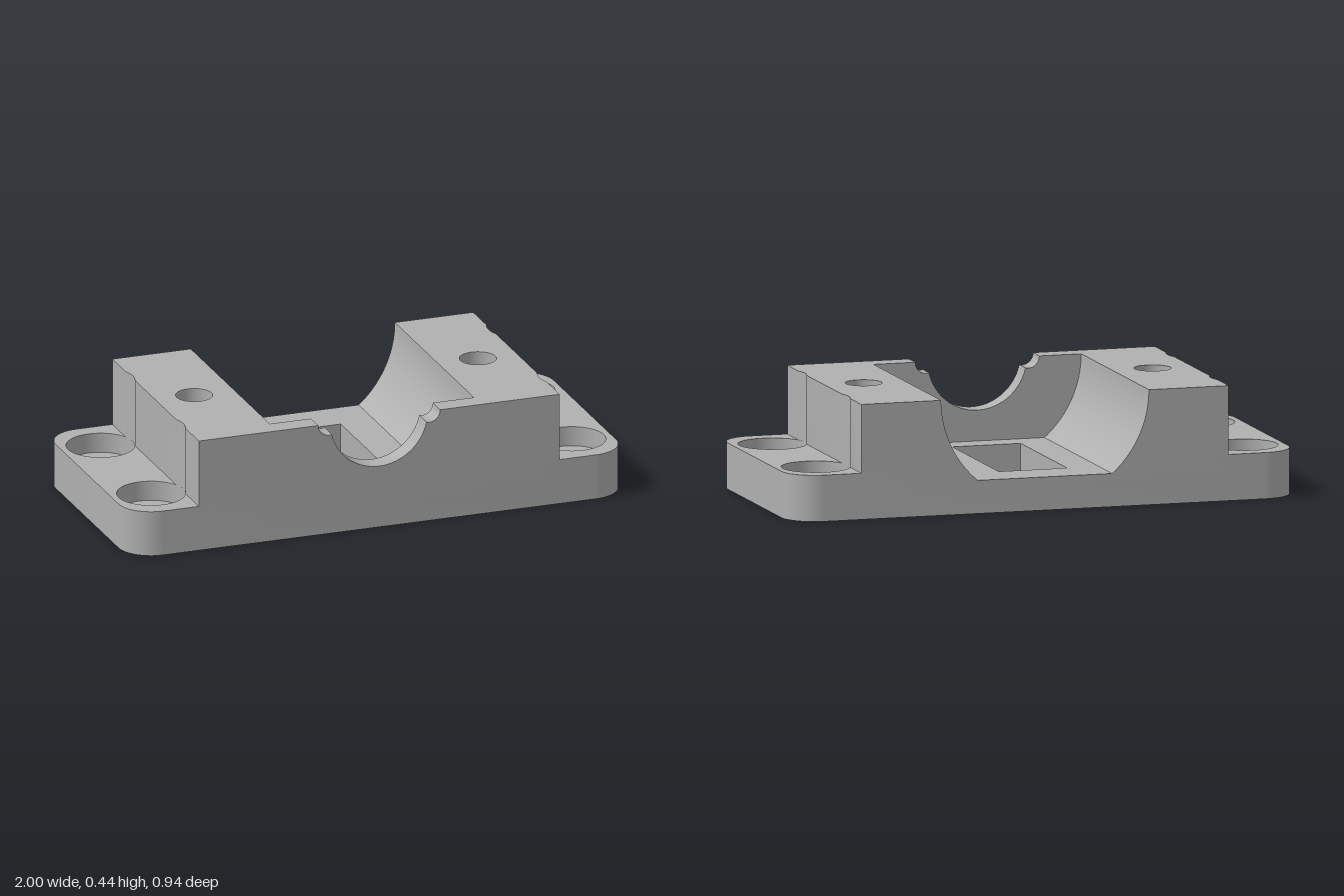
import * as THREE from 'three';
import { toCreasedNormals } from 'three/addons/utils/BufferGeometryUtils.js';

const TOP = 0.44, STEP = 0.177, FLOOR = 0.127, SEAT = 0.1;
const HALF_Z = 0.47, WALL_Z = 0.39, SPLIT = 0.42, BLOCK_X = 0.725;
const CORNER = 0.13, BORE_X = 0.845, BORE_Z = 0.275, BORE_R = 0.13, HOLE_R = 0.07, NUT_X = 0.57;

// Points along an arc, angles in radians
function arc(cx, cy, r, a0, a1, n = 16) {
  return Array.from({ length: n + 1 }, (_, i) => {
    const a = a0 + ((a1 - a0) * i) / n;
    return [cx + r * Math.cos(a), cy + r * Math.sin(a)];
  });
}
const ring = (cx, cy, r, n = 40) => arc(cx, cy, r, 0, Math.PI * 2, n).slice(0, -1);
const vectors = (pts) => pts.map(([x, y]) => new THREE.Vector2(x, y));

function extrude(outline, holes, depth) {
  const shape = new THREE.Shape(vectors(outline));
  shape.holes = holes.map((h) => new THREE.Path(vectors(h)));
  return new THREE.ExtrudeGeometry(shape, { depth, bevelEnabled: false });
}

export function createModel() {
  const model = new THREE.Group();
  model.name = 'bearingCradle';
  const grey = new THREE.MeshStandardMaterial({ color: 0xb0b0b0 });
  grey.name = 'grey';

  function add(name, geometry) {
    const mesh = new THREE.Mesh(toCreasedNormals(geometry, 0.5), grey);
    mesh.name = name;
    model.add(mesh);
  }
  // Horizontal slab between two heights, plan drawn as (x, -z)
  const slab = (name, outline, holes, y0, y1) =>
    add(name, extrude(outline, holes, y1 - y0).rotateX(-Math.PI / 2).translate(0, y0, 0));
  // Profile drawn as (x, y), running between two depths
  const rail = (name, outline, z0, z1) =>
    add(name, extrude(outline, [], z1 - z0).translate(0, 0, z0));

  const H = Math.PI / 2, cx = 1 - CORNER, cz = HALF_Z - CORNER;
  const rightEnd = [...arc(cx, -cz, CORNER, -H, 0), ...arc(cx, cz, CORNER, 0, H)];
  const plate = [...rightEnd, ...rightEnd.map(([x, z]) => [-x, -z])];
  const window = [[-0.14, -0.29], [0.13, -0.29], [0.13, 0.3], [-0.14, 0.3]];
  const pockets = [-1, 1].map((s) => ring(s * NUT_X, 0, 0.14, 6));
  const corners = [[-1, -1], [1, -1], [1, 1], [-1, 1]];
  const bores = (r) => corners.map(([sx, sz]) => ring(sx * BORE_X, sz * BORE_Z, r));

  // Base plate: screw holes below, counterbores above, nut pockets throughout
  slab('basePlate', plate, [window, ...pockets, ...bores(HOLE_R)], 0, SEAT);
  slab('counterboreLayer', plate, [window, ...pockets, ...bores(BORE_R)], SEAT, FLOOR);

  // Plan of the raised block with shallow grooves where the counterbores pass
  const g = Math.acos((BORE_X - BLOCK_X) / BORE_R);
  const blockPlan = [
    [SPLIT, -HALF_Z], [BLOCK_X, -HALF_Z],
    ...arc(BORE_X, -BORE_Z, BORE_R, Math.PI + g, Math.PI - g, 8),
    ...arc(BORE_X, BORE_Z, BORE_R, Math.PI + g, Math.PI - g, 8),
    [BLOCK_X, HALF_Z], [SPLIT, HALF_Z],
  ];
  const flangePlan = [[SPLIT, -HALF_Z], ...rightEnd, [SPLIT, HALF_Z]];

  // Side of the round channel, cut by its flat floor
  const R = 0.41;
  const channelProfile = [
    [SPLIT, FLOOR],
    ...arc(0, TOP, R, -Math.asin((TOP - FLOOR) / R), 0, 24),
    [SPLIT, TOP],
  ];

  for (const s of [1, -1]) {
    const side = s > 0 ? 'left' : 'right';
    const flip = (pts) => pts.map(([x, y]) => [s * x, y]);
    const bolt = ring(s * NUT_X, 0, HOLE_R);
    const sideBores = [-1, 1].map((k) => ring(s * BORE_X, k * BORE_Z, BORE_R));
    slab(side + 'Flange', flip(flangePlan), [bolt, ...sideBores], FLOOR, STEP);
    slab(side + 'Block', flip(blockPlan), [bolt], STEP, TOP);
    rail(side + 'ChannelWall', flip(channelProfile), -HALF_Z, WALL_Z);
  }

  // Front wall with a half-round notch and two small scallops
  const a = Math.asin(0.043 / 0.195);
  const scallop = arc(0.2, TOP, 0.045, 0, -H, 8);
  rail('frontWall', [
    [-SPLIT, FLOOR], [SPLIT, FLOOR], [SPLIT, TOP],
    ...scallop,
    ...arc(0, TOP, 0.195, -a, a - Math.PI, 32),
    ...scallop.map(([x, y]) => [-x, y]).reverse(),
    [-SPLIT, TOP],
  ], WALL_Z, HALF_Z);

  return model;
}
